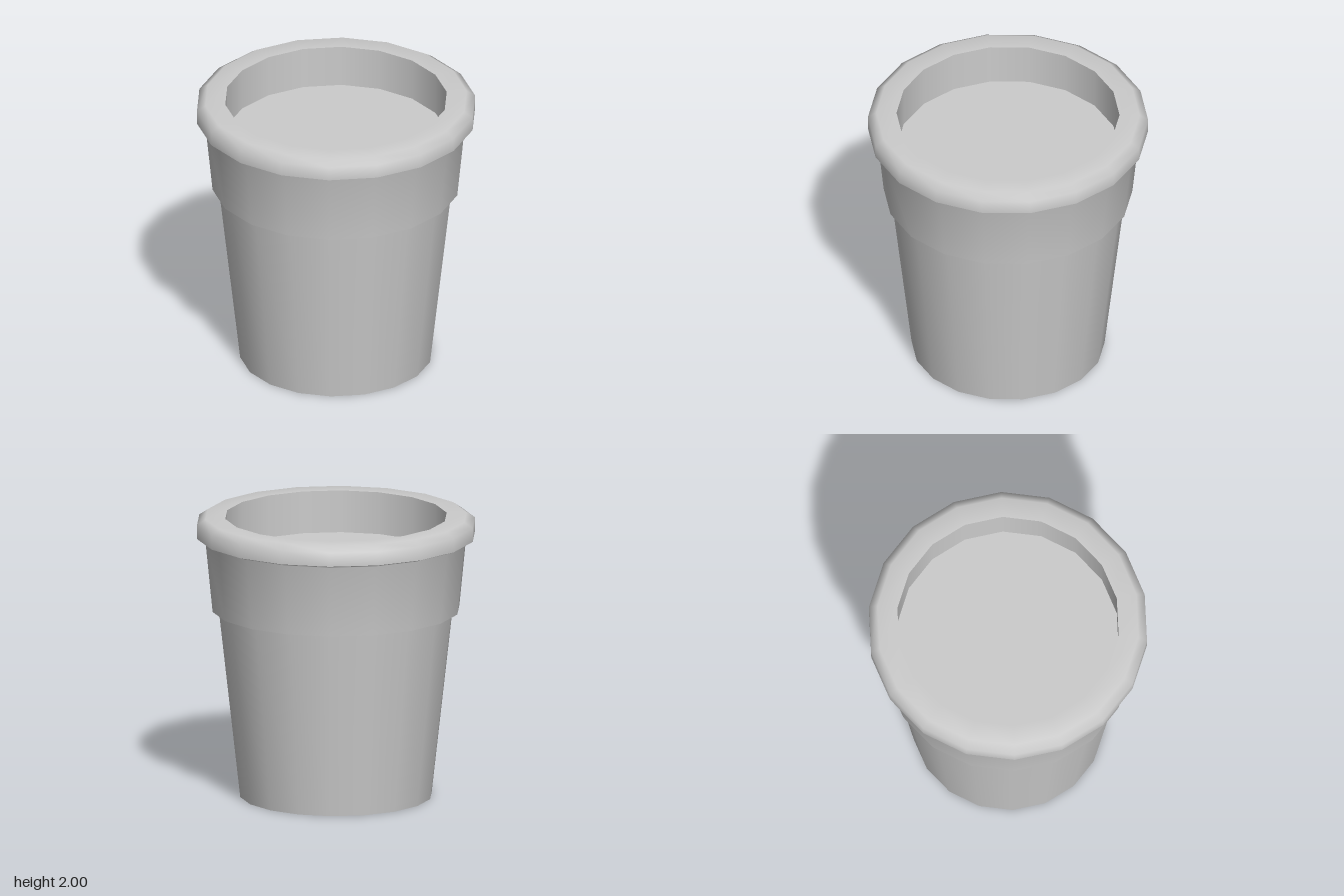
import * as THREE from 'three';

const SIDES = 18;
const material = new THREE.MeshStandardMaterial({ color: 0xcccccc });

// Revolves a smooth [radius, height] profile; a corner faces each side (+x and -x)
function turned(name, profile) {
  const points = profile.map(([r, y]) => new THREE.Vector2(r, y));
  const mesh = new THREE.Mesh(new THREE.LatheGeometry(points, SIDES, Math.PI / 2), material);
  mesh.name = name;
  return mesh;
}

export function createModel() {
  const pot = new THREE.Group();
  pot.name = 'flowerPot';

  // Each piece is smooth in itself; the seams between pieces stay sharp
  pot.add(
    turned('base', [[0, 0], [0.675, 0]]),
    turned('body', [[0.675, 0], [0.825, 1.335]]),
    turned('collarUnderside', [[0.825, 1.335], [0.87, 1.335]]),
    turned('collar', [[0.87, 1.335], [0.92, 1.84], [0.98, 1.862]]),
    turned('rim', [[0.98, 1.862], [0.98, 1.96], [0.92, 2], [0.78, 2]]),
    turned('innerWall', [[0.78, 2], [0.78, 1.7]]),
    turned('soil', [[0.78, 1.7], [0, 1.7]]),
  );
  return pot;
}
